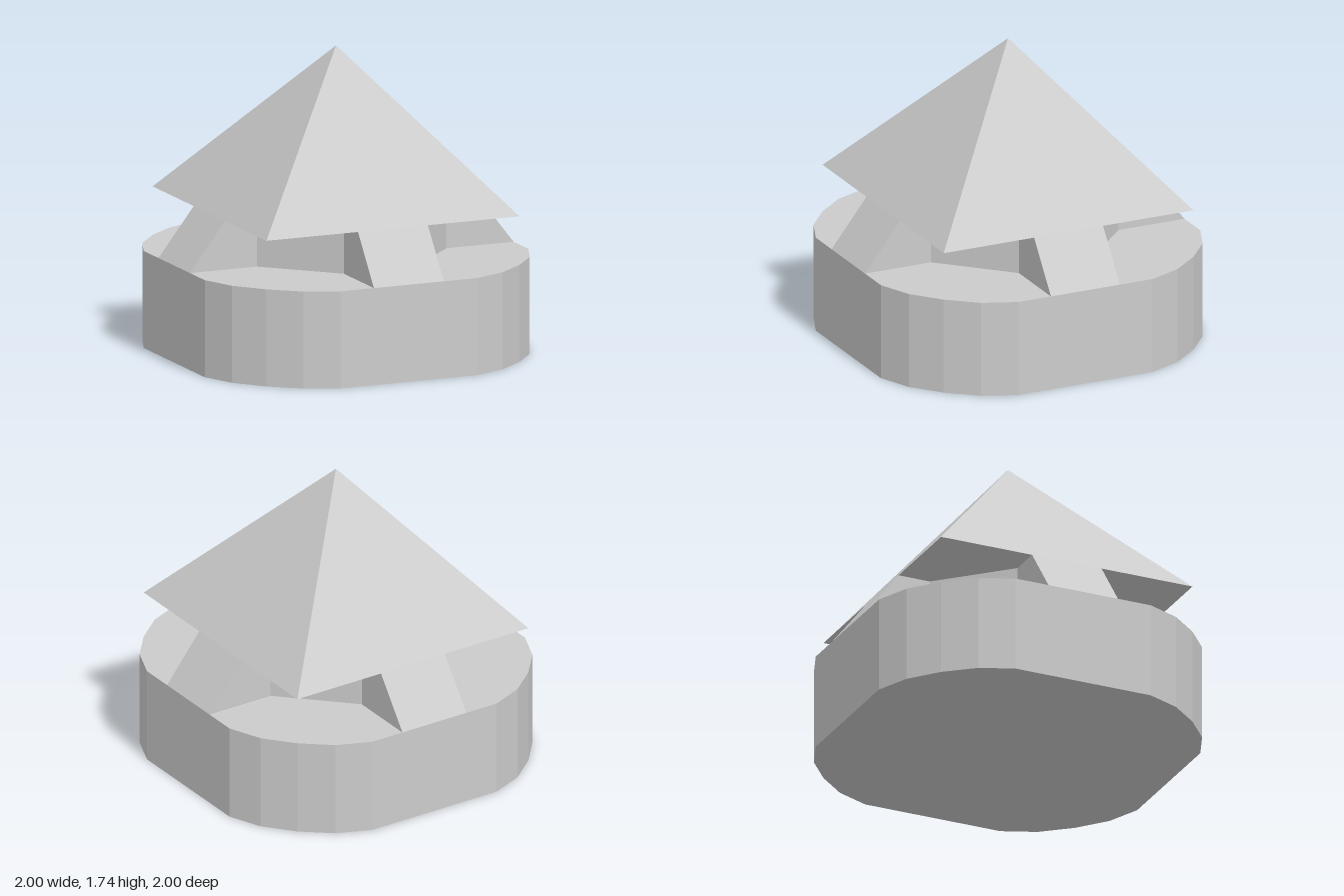
import * as THREE from 'three';

const BASE_H = 0.56, EAVE_H = 0.84, TOP_H = 1.74;
const ARM_HALF = 0.216, NECK = 0.587, EAVE = 0.782;

const material = new THREE.MeshStandardMaterial({ color: 0xcccccc, flatShading: true });

function addMesh(parent, name, geometry) {
  const mesh = new THREE.Mesh(geometry, material);
  mesh.name = name;
  parent.add(mesh);
  return mesh;
}

// Upright prism whose outline repeats one corner's points around four quarters
function quarterPrism(corner, y0, y1) {
  const points = [];
  for (let q = 0; q < 4; q++) {
    for (const [x, y] of corner) {
      points.push(new THREE.Vector2(x, y).rotateAround(new THREE.Vector2(), q * Math.PI / 2));
    }
  }
  const geometry = new THREE.ExtrudeGeometry(new THREE.Shape(points), { depth: y1 - y0, bevelEnabled: false });
  return geometry.rotateX(-Math.PI / 2).translate(0, y0, 0);
}

export function createModel() {
  const model = new THREE.Group();
  model.name = 'pavilion';

  // Square base with faceted round corners
  addMesh(model, 'base', quarterPrism(
    [[1, 0.42], [0.92, 0.615], [EAVE, EAVE], [0.615, 0.92], [0.42, 1]], 0, BASE_H));

  // Core under the roof, with diagonal corner walls
  addMesh(model, 'core', quarterPrism(
    [[NECK, ARM_HALF], [ARM_HALF, NECK]], BASE_H, EAVE_H));

  // Four sloped buttresses from the eaves down to the base rim
  const profile = new THREE.Shape([
    new THREE.Vector2(NECK, BASE_H), new THREE.Vector2(1, BASE_H),
    new THREE.Vector2(EAVE, EAVE_H), new THREE.Vector2(NECK, EAVE_H),
  ]);
  const buttress = new THREE.ExtrudeGeometry(profile, { depth: 2 * ARM_HALF, bevelEnabled: false });
  buttress.translate(0, 0, -ARM_HALF);
  ['left', 'back', 'right', 'front'].forEach((side, i) => {
    addMesh(model, side + 'Buttress', buttress).rotation.y = i * Math.PI / 2;
  });

  // Four-sided pyramid roof with a flat underside
  const roof = new THREE.ConeGeometry(EAVE * Math.SQRT2, TOP_H - EAVE_H, 4, 1, false, Math.PI / 4);
  addMesh(model, 'roof', roof).position.y = (TOP_H + EAVE_H) / 2;

  return model;
}
